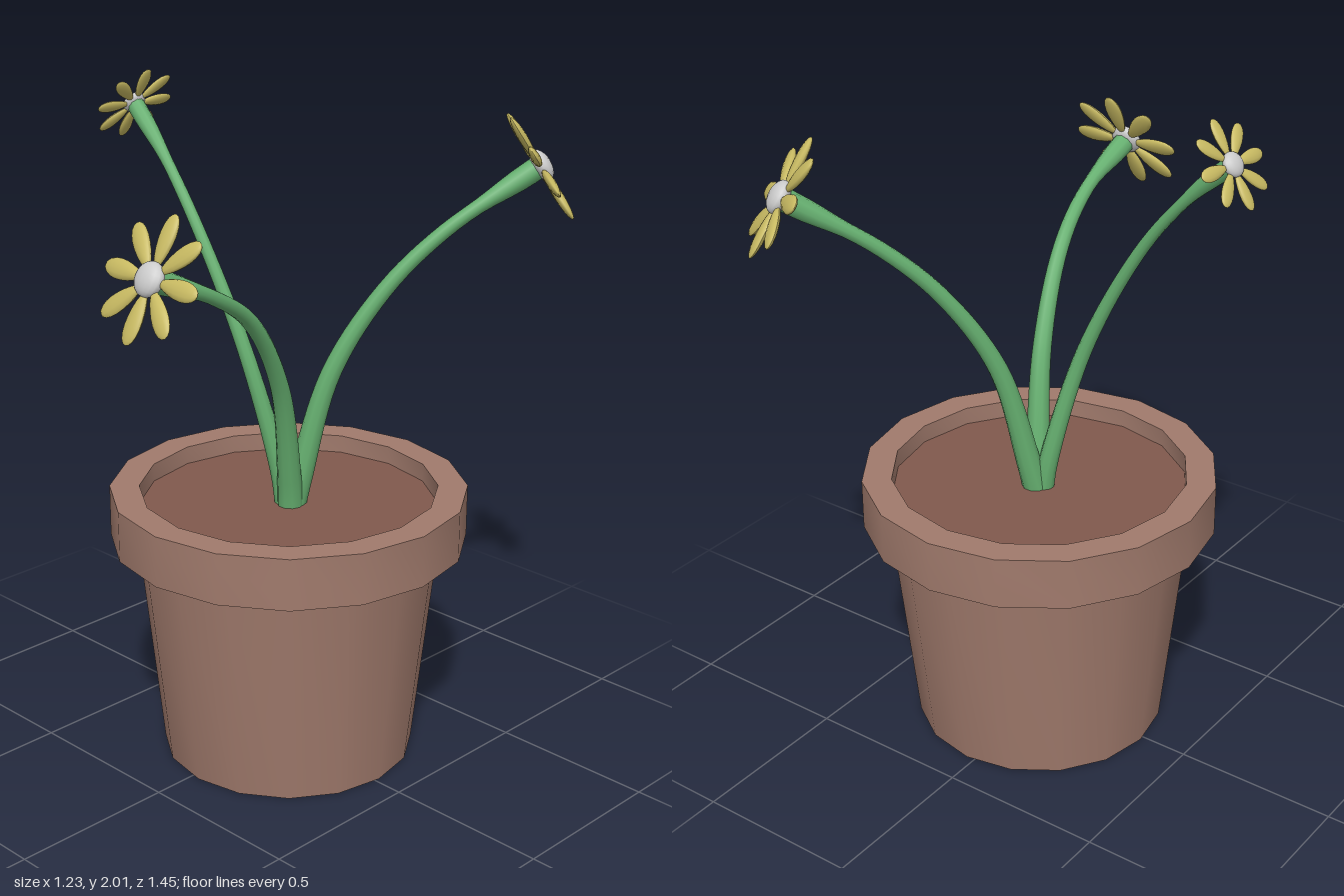
import * as THREE from 'three';
import { toCreasedNormals } from 'three/addons/utils/BufferGeometryUtils.js';

const mat = (color) => new THREE.MeshStandardMaterial({ color });
const V = (p) => new THREE.Vector3(...p);

// Each plant: stem path, thickness scale, and flower direction, radius and petal phase (degrees)
const PLANTS = [
  { path: [[0.015, 0.76, -0.015], [0, 0.86, -0.01], [-0.09, 1.235, 0.045], [-0.26, 1.58, 0.07], [-0.42, 1.78, 0.06], [-0.55, 1.9, 0.047]],
    thick: 0.8, facing: [-0.83, 0.55, -0.08], size: 0.13, phase: 0 },
  { path: [[0.035, 0.76, -0.015], [0.045, 0.86, 0], [0.09, 1.18, 0.085], [0.14, 1.42, 0.245], [0.175, 1.545, 0.43], [0.177, 1.635, 0.64]],
    thick: 1, facing: [-0.01, 0.48, 0.88], size: 0.18, phase: -2 },
  { path: [[0.03, 0.76, -0.025], [0.045, 0.86, -0.045], [0.1, 1.18, -0.115], [0.19, 1.42, -0.235], [0.295, 1.59, -0.37], [0.465, 1.775, -0.582]],
    thick: 1, facing: [0.58, 0.55, -0.62], size: 0.182, phase: 15 },
];

// Tube whose radius follows a function of t
function taperedTube(points, radiusAt, rings = 32, sides = 10) {
  const curve = new THREE.CatmullRomCurve3(points.map(V));
  const geo = new THREE.TubeGeometry(curve, rings, 1, sides, false);
  const pos = geo.attributes.position;
  const v = new THREE.Vector3();
  for (let i = 0; i <= rings; i++) {
    const c = curve.getPointAt(i / rings);
    for (let j = 0; j <= sides; j++) {
      const k = i * (sides + 1) + j;
      v.fromBufferAttribute(pos, k).sub(c).multiplyScalar(radiusAt(i / rings)).add(c);
      pos.setXYZ(k, v.x, v.y, v.z);
    }
  }
  return geo;
}

// Rounded petal along +y, wider towards its tip
function petalGeometry() {
  const geo = new THREE.SphereGeometry(1, 12, 10);
  const pos = geo.attributes.position;
  for (let i = 0; i < pos.count; i++) {
    const y = pos.getY(i);
    pos.setXYZ(i, pos.getX(i) * 0.15 * (1 + 0.3 * y), 0.59 + 0.41 * y, pos.getZ(i) * 0.075);
  }
  geo.computeVertexNormals();
  return geo;
}

export function createModel() {
  const model = new THREE.Group();
  model.name = 'pottedFlowers';
  const green = mat(0x66b070), yellow = mat(0xc8ba62), grey = mat(0xcccccc);

  // Pot with a thick overhanging rim
  const pot = new THREE.Group();
  pot.name = 'pot';
  pot.position.set(0.027, 0, -0.015);
  const profile = [[0, 0], [0.38, 0], [0.452, 0.68], [0.53, 0.68], [0.53, 0.835], [0.442, 0.835], [0.442, 0.76]];
  const potGeo = new THREE.LatheGeometry(profile.map(([r, y]) => new THREE.Vector2(r, y)), 16);
  const shell = new THREE.Mesh(toCreasedNormals(potGeo, 0.6), mat(0xa07a6c));
  shell.name = 'potShell';
  const soil = new THREE.Mesh(new THREE.CircleGeometry(0.442, 16), mat(0x80594d));
  soil.name = 'soil';
  soil.rotation.x = -Math.PI / 2;
  soil.position.y = 0.78;
  pot.add(shell, soil);
  model.add(pot);

  // Stems, each ending in an eight-petal flower
  const petalGeo = petalGeometry();
  const heartGeo = new THREE.SphereGeometry(1, 16, 12);
  for (const { path, thick, facing, size, phase } of PLANTS) {
    const plant = new THREE.Group();
    plant.name = 'plant';

    // Thick at the base, thin in the middle, flared below the flower
    const radiusAt = (t) => thick * (0.02 + 0.02 * (1 - t) ** 2 + 0.013 * THREE.MathUtils.smoothstep(t, 0.82, 0.97));
    const stem = new THREE.Mesh(taperedTube(path, radiusAt), green);
    stem.name = 'stem';

    const flower = new THREE.Group();
    flower.name = 'flower';
    flower.position.copy(V(path.at(-1)));
    flower.lookAt(V(path.at(-1)).add(V(facing)));
    flower.scale.setScalar(size);
    for (let i = 0; i < 8; i++) {
      const petal = new THREE.Mesh(petalGeo, yellow);
      petal.name = 'petal';
      petal.rotation.z = THREE.MathUtils.degToRad(phase + i * 45);
      flower.add(petal);
    }
    const heart = new THREE.Mesh(heartGeo, grey);
    heart.name = 'flowerCentre';
    heart.scale.set(0.27, 0.27, 0.15);
    heart.position.z = 0.03;
    flower.add(heart);

    plant.add(stem, flower);
    model.add(plant);
  }
  return model;
}
